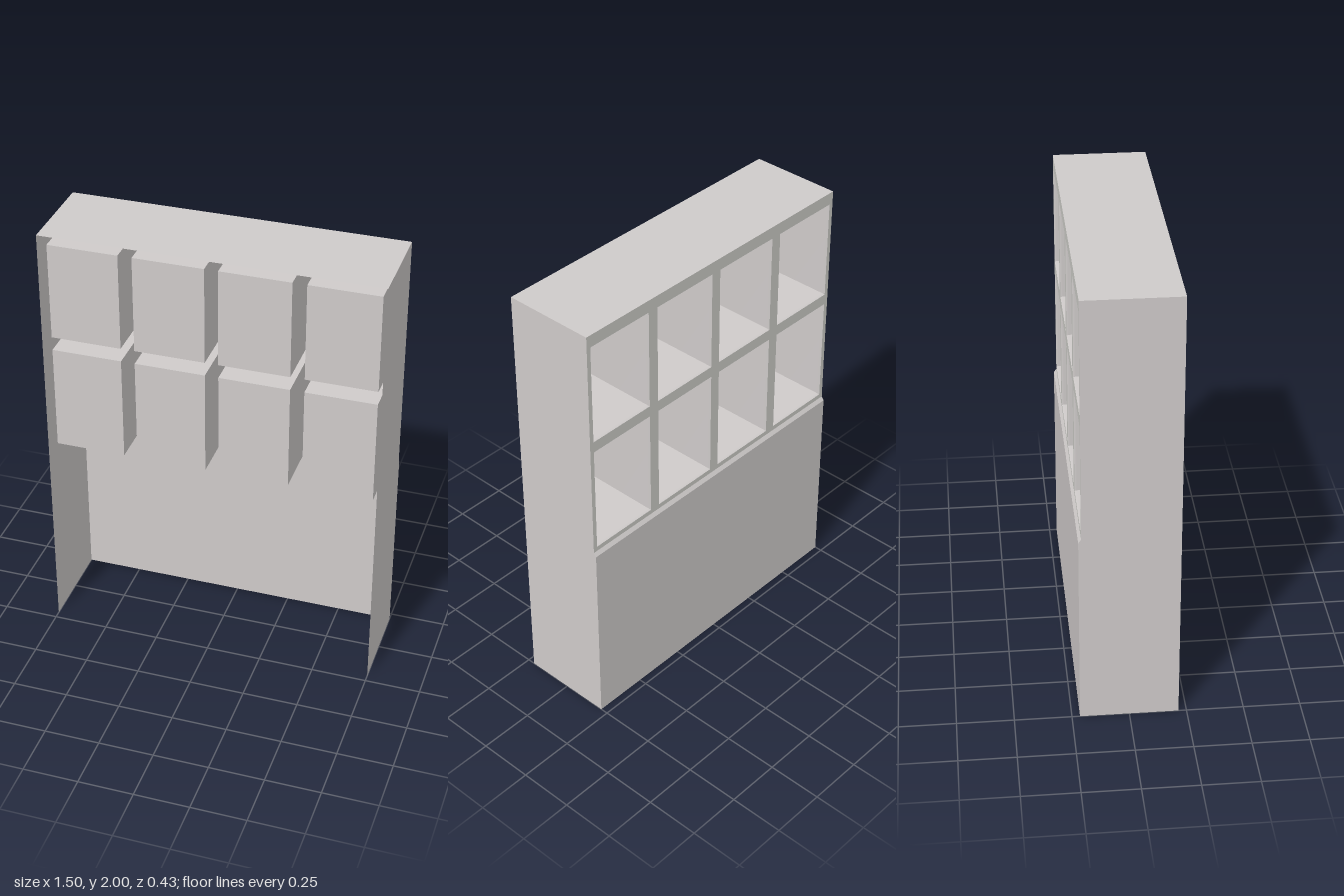
import * as THREE from 'three';

const WIDTH = 1.5, HEIGHT = 2;
const FRONT = 0.215, BACK = -0.215, FRAME_Z = -0.203; // depth planes
const LEDGE_LOW = 0.895, LEDGE_HIGH = 0.912; // sloped ledge under the cubbies
const CUBBY_END = 0.172, LIP = 0.006;

const COLUMNS = [[-0.73, -0.402], [-0.352, -0.024], [0.024, 0.352], [0.402, 0.73]];
const ROWS = [[0.934, 1.432], [1.483, 1.944]];

// Sheet lofted through rows of points, two points per row
function strip(rows) {
  const index = [];
  for (let i = 0; i < rows.length - 1; i++) {
    const a = i * 2;
    index.push(a, a + 1, a + 3, a, a + 3, a + 2);
  }
  const geometry = new THREE.BufferGeometry();
  geometry.setAttribute('position', new THREE.Float32BufferAttribute(rows.flat(2), 3));
  geometry.setIndex(index);
  geometry.computeVertexNormals();
  return geometry;
}

// Corners of a rectangle at depth z, shrunk by inset
function corners([x0, x1], [y0, y1], z, inset) {
  return [
    [x0 + inset, y0 + inset, z], [x1 - inset, y0 + inset, z],
    [x1 - inset, y1 - inset, z], [x0 + inset, y1 - inset, z],
  ];
}

export function createModel() {
  const group = new THREE.Group();
  const bodyGrey = new THREE.MeshStandardMaterial({ color: 0xcfcbca, side: THREE.DoubleSide });
  bodyGrey.name = 'bodyGrey';
  const frameGrey = new THREE.MeshStandardMaterial({ color: 0xcecec9, side: THREE.DoubleSide });
  frameGrey.name = 'frameGrey';

  const add = (name, geometry, material = bodyGrey, parent = group) => {
    const mesh = new THREE.Mesh(geometry, material);
    mesh.name = name;
    parent.add(mesh);
    return mesh;
  };
  // Full-width sheet between two (y, z) points
  const across = (name, [ya, za], [yb, zb]) => add(name, strip([
    [[WIDTH / 2, ya, za], [-WIDTH / 2, ya, za]],
    [[WIDTH / 2, yb, zb], [-WIDTH / 2, yb, zb]],
  ]));

  // Side panels, with the step at the ledge
  const outline = new THREE.Shape([
    [-FRONT, 0], [-BACK, 0], [-BACK, LEDGE_LOW], [-FRAME_Z, LEDGE_HIGH],
    [-FRAME_Z, HEIGHT], [-FRONT, HEIGHT],
  ].map(([x, y]) => new THREE.Vector2(x, y)));
  for (const side of [-1, 1]) {
    const geometry = new THREE.ShapeGeometry(outline).rotateY(Math.PI / 2);
    const panel = add(side > 0 ? 'leftSide' : 'rightSide', geometry);
    panel.position.x = side * WIDTH / 2;
  }

  // Top, lower back panel and sloped ledge
  across('top', [HEIGHT, FRAME_Z], [HEIGHT, FRONT]);
  across('lowerBackPanel', [0, BACK], [LEDGE_LOW, BACK]);
  across('ledge', [LEDGE_LOW, BACK], [LEDGE_HIGH, FRAME_Z]);

  // Frame with one opening per cubby
  const frame = new THREE.Shape(
    corners([-WIDTH / 2, WIDTH / 2], [LEDGE_HIGH, HEIGHT], 0, 0).map(([x, y]) => new THREE.Vector2(x, y)));
  for (const column of COLUMNS) {
    for (const row of ROWS) {
      frame.holes.push(new THREE.Path(
        corners(column, row, 0, 0).map(([x, y]) => new THREE.Vector2(x, y)).reverse()));
    }
  }
  const frameMesh = add('cubbyFrame', new THREE.ShapeGeometry(frame).rotateY(Math.PI), frameGrey);
  frameMesh.position.z = FRAME_Z;

  // Cubbies: a bevelled lip, four walls and an end wall
  for (const column of COLUMNS) {
    for (const row of ROWS) {
      const cubby = new THREE.Group();
      cubby.name = 'cubby';
      group.add(cubby);
      const rings = [
        corners(column, row, FRAME_Z, 0),
        corners(column, row, FRAME_Z + 0.01, LIP),
        corners(column, row, CUBBY_END, LIP),
      ];
      for (let i = 0; i < 4; i++) {
        const j = (i + 1) % 4;
        add('cubbyWall', strip(rings.map((ring) => [ring[i], ring[j]])), bodyGrey, cubby);
      }
      const end = rings[2];
      add('cubbyEnd', strip([[end[0], end[1]], [end[3], end[2]]]), bodyGrey, cubby);
    }
  }
  return group;
}
